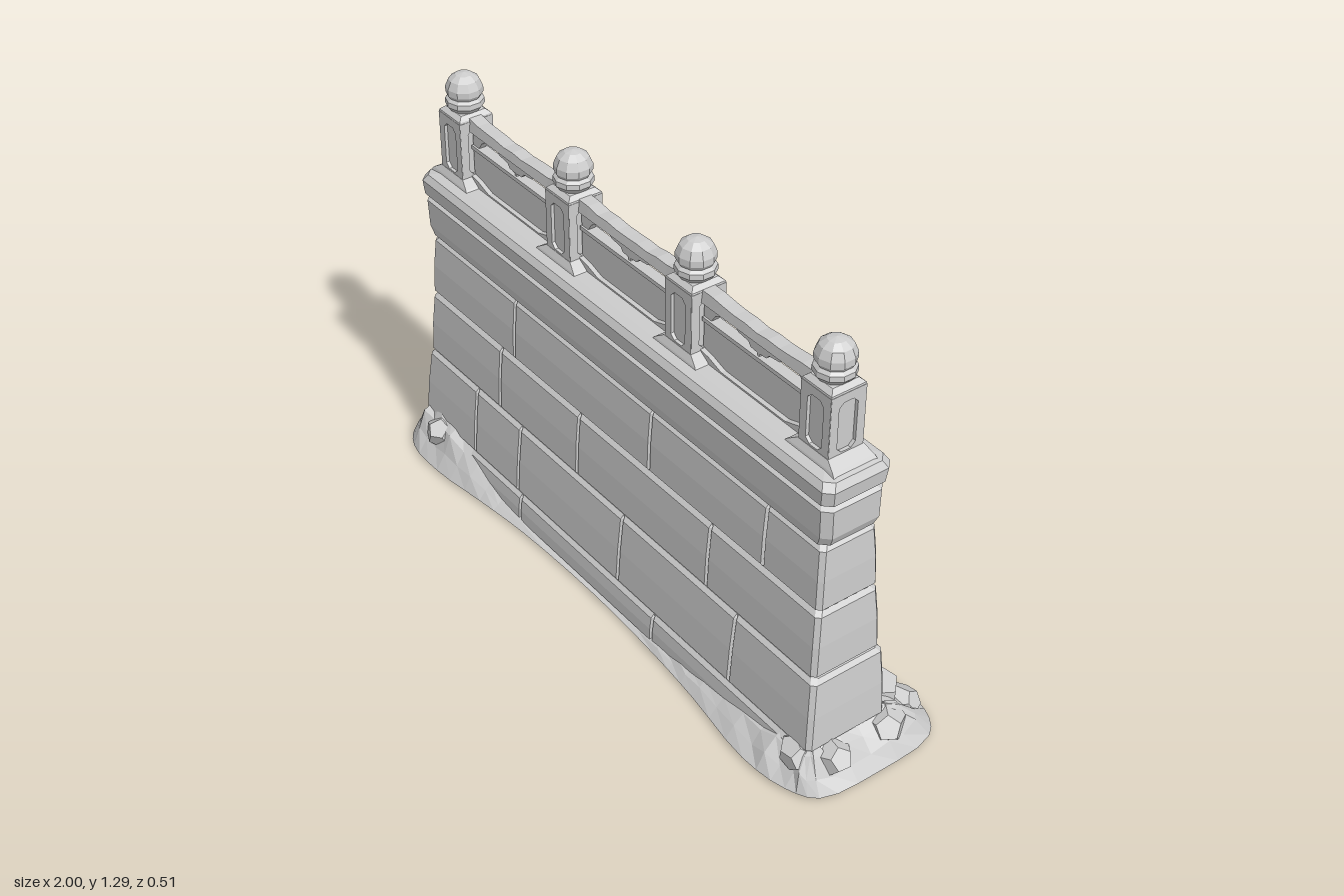
import * as THREE from 'three';

const stone = new THREE.MeshStandardMaterial({ color: 0xcccccc, flatShading: true });
stone.name = 'stone grey';
const openStone = new THREE.MeshStandardMaterial({ color: 0xcccccc, flatShading: true, side: THREE.DoubleSide });
openStone.name = 'stone grey, open';

const MID_Z = 0.045; // centre line of the wall top and railing

// seeded random
let seed = 7;
const rnd = () => ((seed = (seed * 16807) % 2147483647) / 2147483647);
const jit = (a) => (rnd() - 0.5) * 2 * a;

function add(parent, name, geo, x = 0, y = 0, z = 0, mat = stone) {
  const m = new THREE.Mesh(geo, mat);
  m.name = name;
  m.position.set(x, y, z);
  parent.add(m);
  return m;
}

// skin closed rings of points (front-left, front-right, back-right, back-left)
function loft(rings, closeTop = false, closeBottom = false) {
  const n = rings[0].length;
  const pos = rings.flat().flat();
  const idx = [];
  for (let r = 0; r < rings.length - 1; r++)
    for (let i = 0; i < n; i++) {
      const a = r * n + i, b = r * n + ((i + 1) % n);
      idx.push(a, b, a + n, b, b + n, a + n);
    }
  const cap = (ring, base, flip) => {
    const c = [0, 1, 2].map((k) => ring.reduce((s, p) => s + p[k], 0) / n);
    const ci = pos.length / 3;
    pos.push(...c);
    for (let i = 0; i < n; i++) {
      const a = base + i, b = base + ((i + 1) % n);
      if (flip) idx.push(b, a, ci); else idx.push(a, b, ci);
    }
  };
  if (closeTop) cap(rings[rings.length - 1], (rings.length - 1) * n, false);
  if (closeBottom) cap(rings[0], 0, true);
  const g = new THREE.BufferGeometry();
  g.setAttribute('position', new THREE.Float32BufferAttribute(pos, 3));
  g.setIndex(idx);
  g.computeVertexNormals();
  return g;
}

// plan outline of the wall at one height, with V notches at the joints
function outline(y, hx, zf, zb, fj = [], bj = [], notch = 0, cut = 0.012) {
  const w = 0.006, p = [[-hx + cut, y, zf]];
  for (const x of fj) p.push([x - w, y, zf], [x, y, zf - notch], [x + w, y, zf]);
  p.push([hx - cut, y, zf], [hx, y, zf - cut], [hx, y, zb + cut], [hx - cut, y, zb]);
  for (const x of [...bj].reverse()) p.push([x + w, y, zb], [x, y, zb + notch], [x - w, y, zb]);
  p.push([-hx + cut, y, zb], [-hx, y, zb + cut], [-hx, y, zf - cut]);
  return p;
}

// masonry courses: bottom and top [y, halfWidth, zFront, zBack], then joints front and back
const courses = [
  [[0, 0.93, 0.185, -0.09], [0.1, 0.925, 0.178, -0.086], [-0.39, 0.26], [-0.2, 0.45]],
  [[0.1, 0.922, 0.176, -0.086], [0.33, 0.905, 0.156, -0.078], [-0.64, -0.41, 0.09, 0.59], [-0.37, 0.15, 0.68]],
  [[0.33, 0.9, 0.154, -0.07], [0.54, 0.89, 0.141, -0.056], [-0.52, -0.13, 0.46], [-0.65, -0.08, 0.53]],
  [[0.54, 0.89, 0.141, -0.056], [0.74, 0.88, 0.13, -0.044], [-0.45, 0.19, 0.67], [-0.42, 0.44, 0.7]],
];

function buildWall(g) {
  const D = 0.01;
  courses.forEach(([b, t, fj, bj], i) => {
    const rows = [[0, D], [0.012, 0], [(t[0] - b[0]) / 2, -0.002], [t[0] - b[0] - 0.012, 0], [t[0] - b[0], D]];
    const rings = rows.map(([dy, inset]) => {
      const k = dy / (t[0] - b[0]);
      const [, hx, zf, zb] = b.map((v, j) => v + (t[j] - v) * k);
      return outline(b[0] + dy, hx - inset, zf - inset, zb + inset, fj, bj, D - inset);
    });
    add(g, 'stoneCourse' + (i + 1), loft(rings, true, i === 0));
  });
  // moulded cornice and coping
  const mould = [
    [0.735, 0.87, 0.122, -0.036], [0.75, 0.885, 0.134, -0.046], [0.78, 0.898, 0.14, -0.052], [0.865, 0.9, 0.143, -0.052],
    [0.877, 0.885, 0.128, -0.04], [0.887, 0.903, 0.147, -0.058], [0.93, 0.908, 0.15, -0.062],
    [0.95, 0.895, 0.138, -0.05], [0.957, 0.87, 0.11, -0.02]];
  add(g, 'cornice', loft(mould.map((m) => outline(...m, [], [], 0, 0.022)), true, true));
}

function polygon(points, Type = THREE.Shape) {
  return new Type(points.map(([x, y]) => new THREE.Vector2(x, y)));
}

// square post with a framed recess on each face, flared foot and rounded finial
function buildPost(x) {
  const post = new THREE.Group();
  post.name = 'railingPost';
  post.position.set(x, 0, MID_Z);
  const sq = (y, a, b = a) => [[-a, y, b], [a, y, b], [a, y, -b], [-a, y, -b]];
  add(post, 'postFoot', loft([sq(0.945, 0.1, 0.07), sq(0.962, 0.085, 0.065), sq(0.98, 0.056)], true));
  add(post, 'postCore', new THREE.BoxGeometry(0.09, 0.19, 0.09), 0, 1.06, 0);
  const frame = polygon([[-0.054, 0.965], [0.054, 0.965], [0.054, 1.155], [-0.054, 1.155]]);
  const a = 0.029, c = 0.014, lo = 0.985, hi = 1.13;
  frame.holes.push(polygon([[-a, lo + c], [-a, hi - c], [-a + c, hi], [a - c, hi], [a, hi - c], [a, lo + c], [a - c, lo], [-a + c, lo]], THREE.Path));
  const frameGeo = new THREE.ExtrudeGeometry(frame, { depth: 0.012, bevelEnabled: false });
  frameGeo.translate(0, 0, 0.043);
  for (let i = 0; i < 4; i++) add(post, 'postFrame', frameGeo).rotation.y = (i * Math.PI) / 2;
  add(post, 'postCap', loft([sq(1.15, 0.055), sq(1.16, 0.053), sq(1.172, 0.04)], true));
  const profile = [[0.036, 1.165], [0.046, 1.175], [0.056, 1.188], [0.055, 1.203], [0.046, 1.211], [0.053, 1.222], [0.053, 1.24], [0.043, 1.263], [0.024, 1.277], [0, 1.282]];
  add(post, 'finial', new THREE.LatheGeometry(profile.map((p) => new THREE.Vector2(...p)), 10));
  return post;
}

// pierced panel with handrail between two posts
function buildPanel(x, w) {
  const panel = new THREE.Group();
  panel.name = 'railingPanel';
  panel.position.set(x, 0, MID_Z);
  const h = w / 2;
  const sheet = polygon([[-h, 0.95], [h, 0.95], [h, 1.14], [-h, 1.14]]);
  for (const s of [-1, 1]) {
    const pts = [[0.185, 1.078], [0.17, 1.1], [0.14, 1.117], [0.1, 1.12], [0.08, 1.105], [0.04, 1.1], [0.03, 1.088], [0.004, 1.086], [0.004, 1.078]];
    sheet.holes.push(polygon(pts.map(([px, py]) => [px * s, py]), THREE.Path));
  }
  add(panel, 'piercedSheet', new THREE.ExtrudeGeometry(sheet, { depth: 0.022, bevelEnabled: false }), 0, 0, -0.011);
  // worn handrail with a gently uneven top
  const rail = new THREE.BoxGeometry(w, 0.034, 0.05, 10, 1, 1);
  const p = rail.attributes.position;
  for (let i = 0; i < p.count; i++)
    if (p.getY(i) > 0) {
      const u = p.getX(i) / h;
      p.setY(i, p.getY(i) - 0.008 + 0.01 * u * u + 0.002 * Math.sin(p.getX(i) * 60 + x * 9));
      p.setZ(i, p.getZ(i) * 0.8);
    }
  add(panel, 'handrail', rail, 0, 1.143, 0);
  add(panel, 'sheetMoulding', new THREE.BoxGeometry(w, 0.012, 0.034), 0, 1.072, 0);
  // bottom rail sweeping up towards the posts
  const sill = polygon([[-h, 0.95], [h, 0.95], [h, 0.985], [h - 0.04, 0.978], [h - 0.09, 0.962], [-h + 0.09, 0.962], [-h + 0.04, 0.978], [-h, 0.985]]);
  add(panel, 'bottomRail', new THREE.ExtrudeGeometry(sill, { depth: 0.05, bevelEnabled: false }), 0, 0, -0.025);
  return panel;
}

// carved beast-head drain spout on the back, with a hanging drip
function buildSpout() {
  const s = new THREE.Group();
  s.name = 'drainSpout';
  s.position.set(-0.01, 0, 0);
  add(s, 'spoutPlate', new THREE.BoxGeometry(0.11, 0.13, 0.03), 0, 0.795, -0.048);
  const tube = (name, r1, r2, len, y, z, tilt) => {
    const m = add(s, name, new THREE.CylinderGeometry(r1, r2, len, 8), 0, y, z);
    m.rotation.x = -Math.PI / 2 + tilt;
    return m;
  };
  tube('spoutNeck', 0.032, 0.04, 0.06, 0.785, -0.08, 0);
  add(s, 'spoutHead', new THREE.DodecahedronGeometry(0.04), 0, 0.8, -0.085).scale.set(1, 1, 0.9);
  tube('upperJaw', 0.028, 0.03, 0.06, 0.783, -0.128, 0.15).scale.z = 0.75;
  tube('lowerJaw', 0.018, 0.028, 0.045, 0.757, -0.112, -0.2).scale.z = 0.6;
  for (const k of [-1, 1]) {
    const horn = add(s, 'horn', new THREE.ConeGeometry(0.014, 0.05, 5), k * 0.022, 0.844, -0.076);
    horn.rotation.set(0.3, 0, -k * 0.25);
    add(s, 'brow', new THREE.DodecahedronGeometry(0.014), k * 0.022, 0.818, -0.108);
  }
  const drip = [[0, 0.622], [0.006, 0.65], [0.007, 0.69], [0.013, 0.715], [0.012, 0.76]];
  add(s, 'drip', new THREE.LatheGeometry(drip.map((p) => new THREE.Vector2(...p)), 6), 0, 0, -0.125);
  return s;
}

// earth skirt: ground outline as [x, z, height against the wall]
function buildGround(g) {
  const pts = [
    [-0.98, 0.18, 0.1], [-0.9, 0.24, 0.13], [-0.75, 0.25, 0.13], [-0.55, 0.225, 0.06], [-0.35, 0.203, 0.02], [0, 0.192, 0.008],
    [0.3, 0.203, 0.03], [0.5, 0.22, 0.055], [0.75, 0.25, 0.08], [0.9, 0.23, 0.12], [0.98, 0.18, 0.12], [1, 0, 0.1],
    [0.98, -0.2, 0.12], [0.9, -0.255, 0.12], [0.7, -0.25, 0.1], [0.45, -0.19, 0.08], [0.15, -0.145, 0.06], [0, -0.16, 0.07],
    [-0.3, -0.215, 0.08], [-0.5, -0.21, 0.09], [-0.8, -0.235, 0.12], [-0.95, -0.24, 0.12], [-0.995, -0.15, 0.1], [-1, 0, 0.1]];
  const curve = new THREE.CatmullRomCurve3(pts.map(([x, z, h]) => new THREE.Vector3(x, h, z)), true);
  const rim = curve.getPoints(72).slice(0, -1);
  const rings = [[], [], [], []];
  for (const q of rim) {
    const ox = THREE.MathUtils.clamp(q.x, -1, 1);
    const ix = THREE.MathUtils.clamp(q.x, -0.9, 0.9), iz = THREE.MathUtils.clamp(q.z, -0.065, 0.155);
    const h = Math.max(q.y, 0.006);
    [[0, 0], [0.3, 0.42], [0.62, 0.8], [1, 1.08]].forEach(([k, r], i) => {
      const n = i ? 0.12 * h : 0;
      rings[i].push([ox + (ix - ox) * k, h * r + jit(n), q.z + (iz - q.z) * k + jit(n * 0.5)]);
    });
  }
  add(g, 'groundSkirt', loft(rings), 0, 0, 0, openStone);

  // rubble as [x, z, radius, height of centre]
  const rocks = [
    [-0.9, -0.15, 0.07, 0.07], [-0.79, -0.14, 0.075, 0.07], [-0.66, -0.13, 0.065, 0.065], [-0.55, -0.14, 0.055, 0.05],
    [-0.4, -0.13, 0.05, 0.045], [-0.24, -0.13, 0.045, 0.04], [-0.08, -0.11, 0.035, 0.04], [0.14, -0.1, 0.03, 0.03],
    [0.3, -0.12, 0.045, 0.04], [0.44, -0.14, 0.06, 0.055], [0.57, -0.15, 0.07, 0.06], [0.7, -0.14, 0.07, 0.075],
    [0.82, -0.14, 0.07, 0.075], [0.86, -0.2, 0.05, 0.035], [0.92, -0.09, 0.06, 0.07], [0.93, 0.1, 0.055, 0.07],
    [-0.92, 0.1, 0.055, 0.06], [-0.82, 0.18, 0.055, 0.08], [0.87, 0.17, 0.05, 0.075]];
  for (const [x, z, r, y] of rocks) {
    const rock = add(g, 'rubbleStone', new THREE.DodecahedronGeometry(r), x, y, z);
    rock.scale.set(1.15, 0.9, 0.95);
    rock.rotation.set(0, rnd() * 6, jit(0.3));
  }
}

export function createModel() {
  const model = new THREE.Group();
  model.name = 'stoneWall';
  buildWall(model);
  const xs = [-0.8, -0.27, 0.26, 0.79];
  xs.forEach((x, i) => {
    model.add(buildPost(x));
    if (i) model.add(buildPanel((x + xs[i - 1]) / 2, 0.43));
  });
  model.add(buildSpout());
  buildGround(model);
  return model;
}
